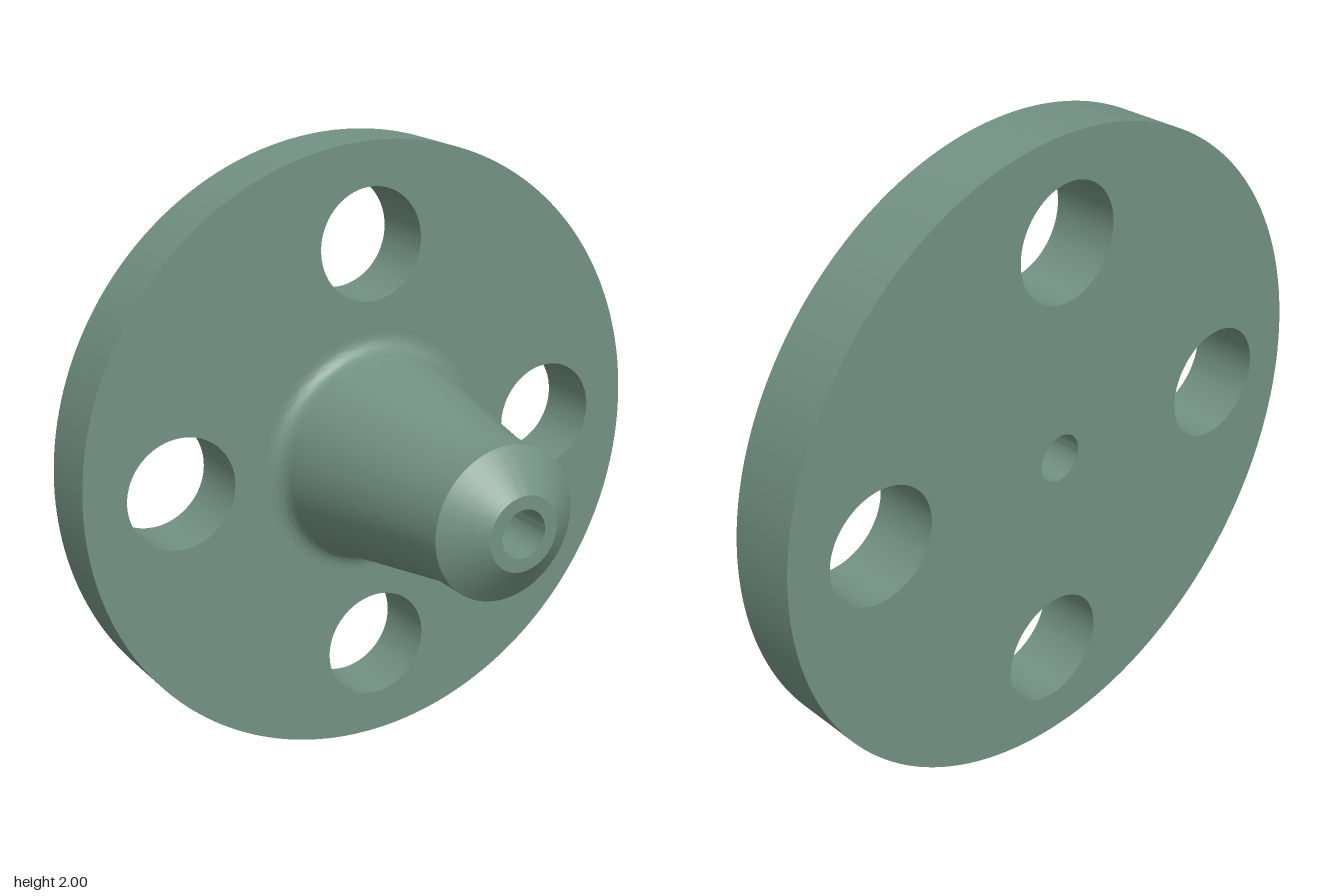
import * as THREE from 'three';
import { toCreasedNormals } from 'three/addons/utils/BufferGeometryUtils.js';

const BORE = 0.075;
const BACK = -0.515, FACE = -0.3, TIP = 0.515;

function circleHole(x, y, radius) {
  const hole = new THREE.Path();
  hole.absarc(x, y, radius, 0, Math.PI * 2, true);
  return hole;
}

export function createModel() {
  const group = new THREE.Group();
  group.name = 'weldNeckFlange';
  const material = new THREE.MeshStandardMaterial({ color: 0x729184 });

  const addPart = (name, geometry) => {
    const mesh = new THREE.Mesh(toCreasedNormals(geometry, 0.4), material);
    mesh.name = name;
    mesh.position.y = 1;
    group.add(mesh);
  };

  // Round plate with the central bore and four bolt holes
  const plate = new THREE.Shape();
  plate.absarc(0, 0, 1, 0, Math.PI * 2, false);
  plate.holes.push(circleHole(0, 0, BORE));
  for (let i = 0; i < 4; i++) {
    const angle = i * Math.PI / 2;
    plate.holes.push(circleHole(0.68 * Math.cos(angle), 0.68 * Math.sin(angle), 0.18));
  }
  const plateGeometry = new THREE.ExtrudeGeometry(plate, {
    depth: FACE - BACK, bevelEnabled: false, curveSegments: 96,
  });
  plateGeometry.translate(0, 0, BACK);
  addPart('flangePlate', plateGeometry);

  // Hub: root fillet, tapered neck, straight collar, weld bevel, then back through the bore
  const fillet = new THREE.QuadraticBezierCurve(
    new THREE.Vector2(0.395, FACE),
    new THREE.Vector2(0.343, FACE),
    new THREE.Vector2(0.333, -0.245),
  );
  const profile = [
    ...fillet.getPoints(10),
    new THREE.Vector2(0.24, 0.28),
    new THREE.Vector2(0.24, 0.42),
    new THREE.Vector2(0.117, TIP),
    new THREE.Vector2(BORE, TIP),
    new THREE.Vector2(BORE, FACE),
  ];
  const hubGeometry = new THREE.LatheGeometry(profile, 96);
  hubGeometry.rotateX(Math.PI / 2); // turn the axis towards the front
  addPart('taperedHub', hubGeometry);

  return group;
}
